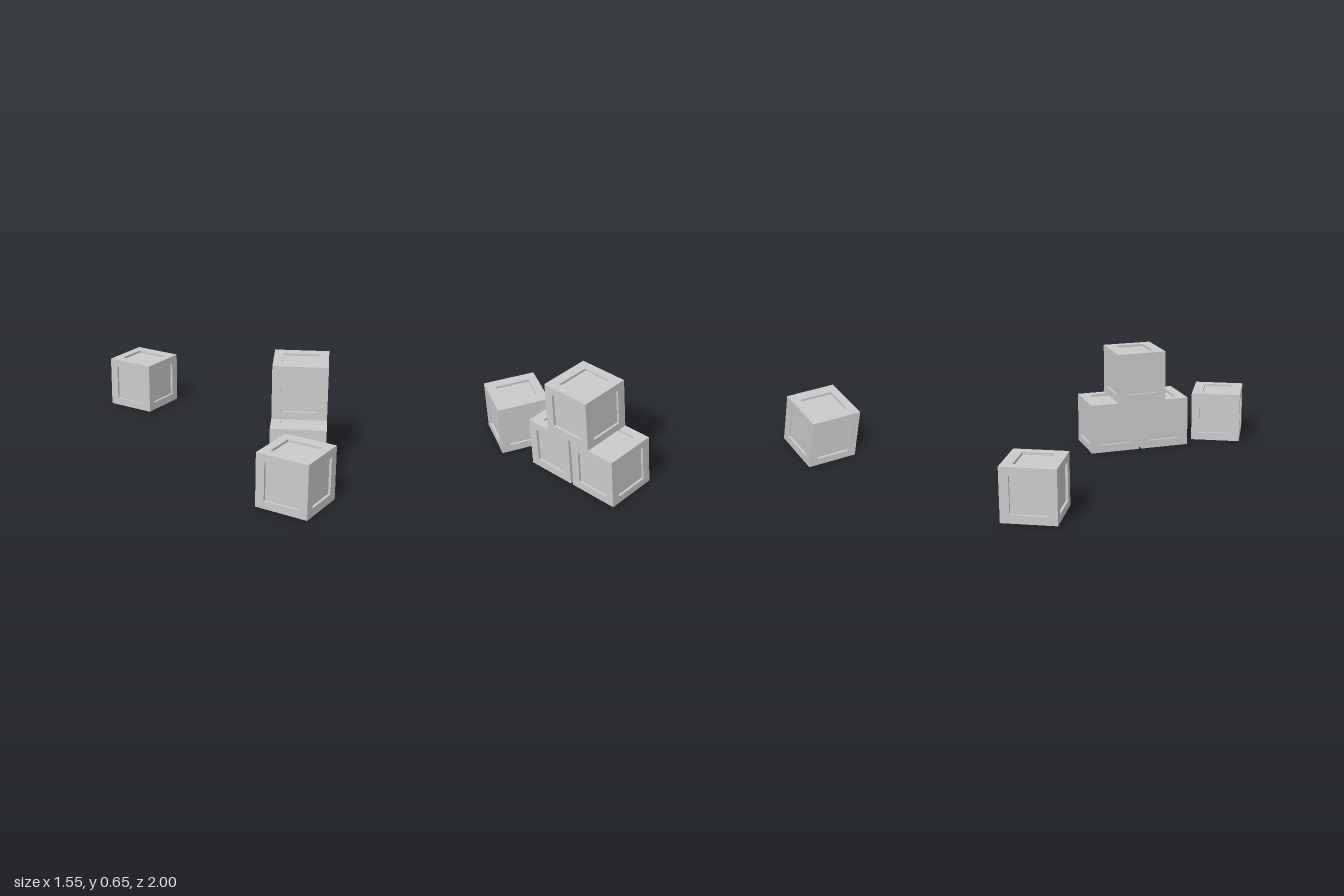
import * as THREE from 'three';
import { mergeGeometries } from 'three/addons/utils/BufferGeometryUtils.js';

const SIZE = 0.326, HALF = SIZE / 2, DEPTH = 0.015;

// One crate side facing +z: flat border, recess walls and recessed panel
function sideGeometry(width, height) {
  const ring = (w, h, z) => [[-w, -h, z], [w, -h, z], [w, h, z], [-w, h, z]];
  const rings = [
    ring(HALF, HALF, HALF),
    ring(width / 2, height / 2, HALF),
    ring(width / 2, height / 2, HALF - DEPTH),
  ];
  const positions = [];
  const quad = (a, b, c, d) => positions.push(...a, ...b, ...c, ...a, ...c, ...d);
  for (let r = 0; r < 2; r++) {
    for (let i = 0; i < 4; i++) {
      const j = (i + 1) % 4;
      quad(rings[r][i], rings[r][j], rings[r + 1][j], rings[r + 1][i]);
    }
  }
  quad(...rings[2]);
  const geometry = new THREE.BufferGeometry();
  geometry.setAttribute('position', new THREE.Float32BufferAttribute(positions, 3));
  geometry.computeVertexNormals();
  return geometry;
}

// Six recessed sides make a crate
function crateGeometry() {
  const sides = [];
  for (const turn of [0, Math.PI]) {
    sides.push(sideGeometry(0.217, 0.232).rotateY(turn));
    sides.push(sideGeometry(0.214, 0.223).rotateY(turn + Math.PI / 2));
    sides.push(sideGeometry(0.217, 0.19).rotateX(turn - Math.PI / 2));
  }
  return mergeGeometries(sides);
}

export function createModel() {
  const model = new THREE.Group();
  model.name = 'crates';
  const geometry = crateGeometry();
  const material = new THREE.MeshStandardMaterial({ color: 0xcccccc, flatShading: true });
  const turned = THREE.MathUtils.degToRad(-27);

  // name, x, base height, z, turn
  const crates = [
    ['stackFrontCrate', 0.553, 0, 0.33, 0],
    ['stackBackCrate', 0.553, 0, -0.014, 0],
    ['stackTopCrate', 0.553, SIZE, 0.171, 0],
    ['looseFrontCrate', 0.554, 0, 0.778, turned],
    ['looseBackCrate', -0.556, 0, -0.781, turned],
  ];
  for (const [name, x, base, z, turn] of crates) {
    const crate = new THREE.Mesh(geometry, material);
    crate.name = name;
    crate.position.set(x, base + HALF, z);
    crate.rotation.y = turn;
    model.add(crate);
  }
  return model;
}
